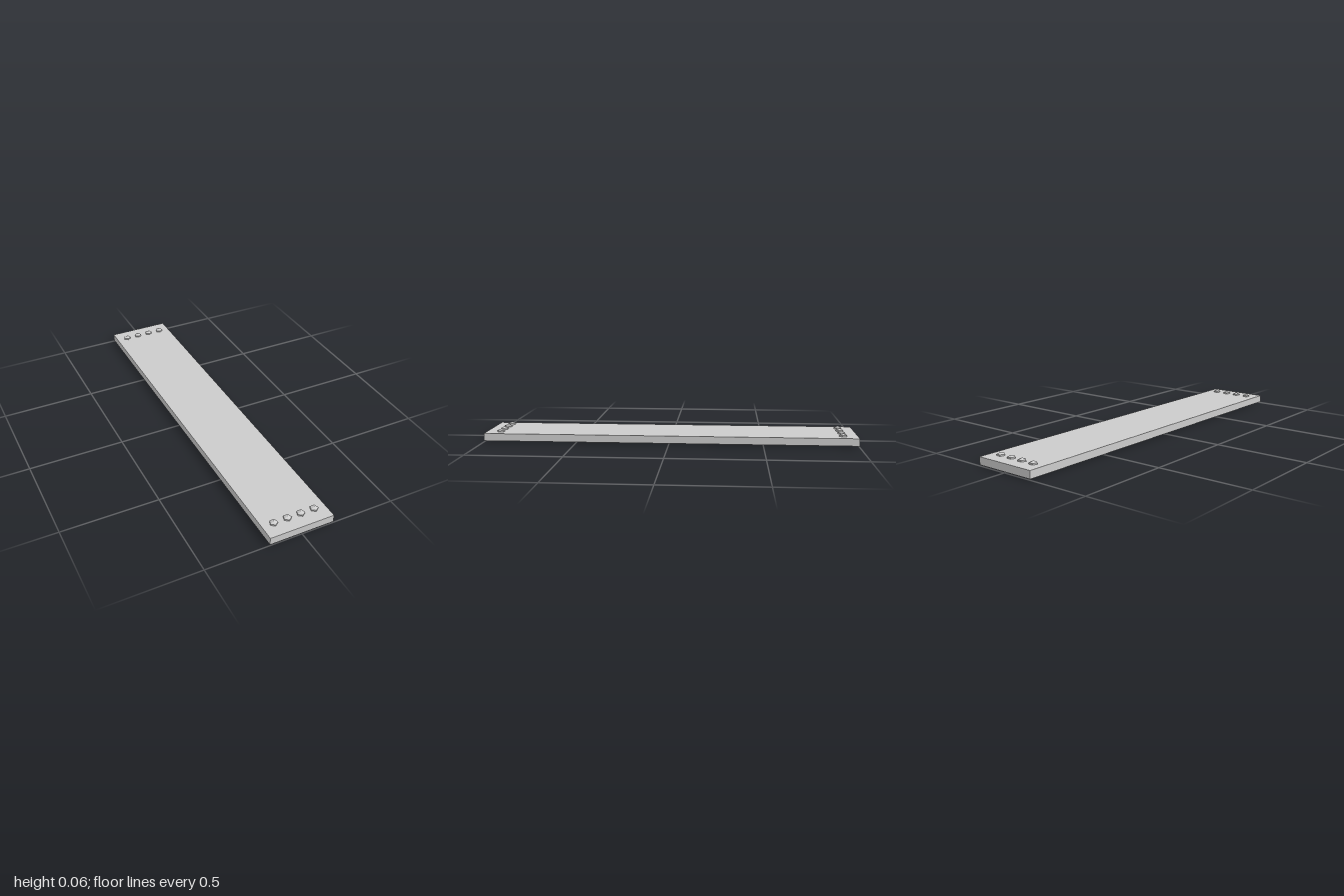
import * as THREE from 'three';

export function createModel() {
  const group = new THREE.Group();
  const mat = new THREE.MeshStandardMaterial({ color: 0xcccccc, flatShading: true });
  const add = (name, geometry, x, y, z) => {
    const mesh = new THREE.Mesh(geometry, mat);
    mesh.name = name;
    mesh.position.set(x, y, z);
    group.add(mesh);
  };

  // Long flat plank
  add('plank', new THREE.BoxGeometry(0.34, 0.04, 2), 0, 0.0255, 0);

  // Five-sided bolts through the plank, each with a pointed head
  const radius = 0.021, shaftTop = 0.053, tip = 0.061;
  const shaft = new THREE.CylinderGeometry(radius, radius, shaftTop, 5, 1, true);
  const head = new THREE.ConeGeometry(radius, tip - shaftTop, 5, 1, true);
  const foot = new THREE.CircleGeometry(radius, 5, Math.PI / 2).rotateX(Math.PI / 2);
  for (const z of [-0.922, 0.922]) {
    for (const x of [-0.109, -0.036, 0.036, 0.109]) {
      add('boltShaft', shaft, x, shaftTop / 2, z);
      add('boltHead', head, x, (shaftTop + tip) / 2, z);
      add('boltFoot', foot, x, 0, z);
    }
  }
  return group;
}
